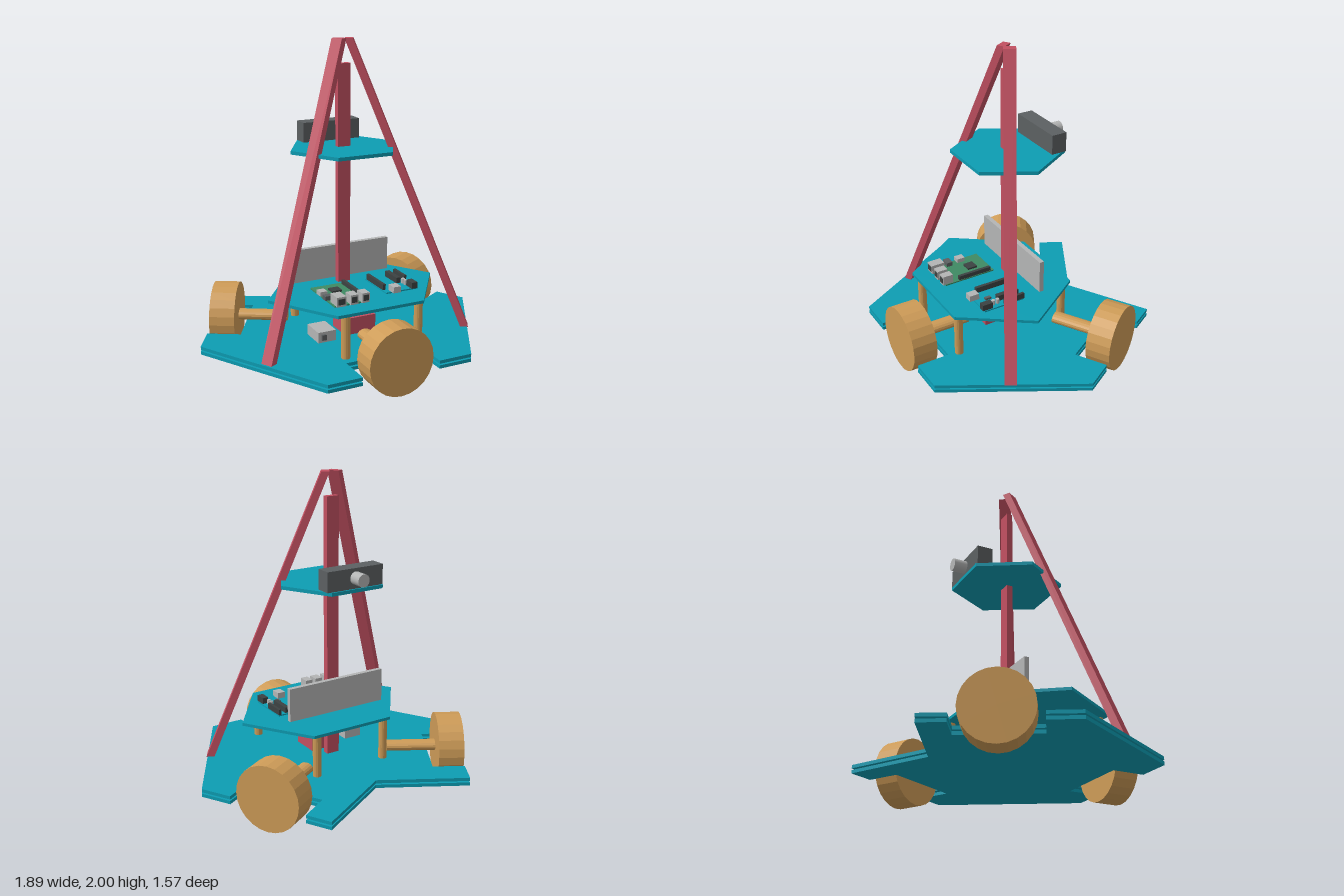
import * as THREE from 'three';

const material = (name, color) => {
  const m = new THREE.MeshStandardMaterial({ color });
  m.name = name;
  return m;
};

export function createModel() {
  const teal = material('teal plate', 0x0d9db3);
  const red = material('red frame', 0xc25061);
  const tan = material('tan wheel', 0xcd9b57);
  const dark = material('dark grey', 0x5c6062);
  const black = material('charcoal', 0x3c4242);
  const light = material('light grey', 0xb4b5b5);
  const green = material('board green', 0x3f8a63);
  tan.flatShading = true;

  const model = new THREE.Group();
  model.name = 'wheeledRobot';

  const add = (name, geometry, mat, parent = model) => {
    const mesh = new THREE.Mesh(geometry, mat);
    mesh.name = name;
    parent.add(mesh);
    return mesh;
  };
  // box given by its minimum and maximum on each axis
  const box = (name, mat, x0, x1, y0, y1, z0, z1, parent) => {
    const m = add(name, new THREE.BoxGeometry(x1 - x0, y1 - y0, z1 - z0), mat, parent);
    m.position.set((x0 + x1) / 2, (y0 + y1) / 2, (z0 + z1) / 2);
    return m;
  };
  // flat plate from an x,z outline
  const plate = (name, outline, bottom, top) => {
    const shape = new THREE.Shape(outline.map(([x, z]) => new THREE.Vector2(x, z)));
    const g = new THREE.ExtrudeGeometry(shape, { depth: top - bottom, bevelEnabled: false });
    g.rotateX(Math.PI / 2);
    add(name, g, teal).position.y = top;
  };

  // double base deck with three wheel slots
  const half = [[0.475, 0.785], [0.255, 0.785], [0.255, 0.575]];
  const side = [[0.41, -0.535], [0.585, -0.64], [0.505, -0.785]];
  const flank = [[0.945, -0.03], [0.845, -0.205], [0.66, -0.1]];
  const rightHalf = [...half.slice().reverse(), ...flank, ...side];
  const base = [...rightHalf, [0, -0.5],
    ...rightHalf.slice().reverse().map(([x, z]) => [-x, z])];
  plate('lowerBasePlate', base, 0.122, 0.143);
  plate('upperBasePlate', base, 0.153, 0.174);

  // raised decks
  plate('middleDeck', [[-0.25, -0.29], [0.31, -0.29], [0.58, 0.125],
    [0.285, 0.54], [-0.29, 0.54], [-0.56, 0.125]], 0.443, 0.462);
  plate('topDeck', [[-0.17, -0.3], [0.19, -0.3], [0.36, 0],
    [0.19, 0.3], [-0.17, 0.3], [-0.345, 0]], 1.318, 1.34);

  // wheels with oval axle housings, pointing outward along local z
  const wheels = [
    { name: 'frontWheel', x: 0, z: 0.705, turn: 0 },
    { name: 'leftRearWheel', x: 0.646, z: -0.381, turn: Math.PI * 2 / 3 },
    { name: 'rightRearWheel', x: -0.646, z: -0.381, turn: -Math.PI * 2 / 3 },
  ];
  for (const w of wheels) {
    const unit = new THREE.Group();
    unit.name = w.name;
    unit.position.set(w.x, 0.211, w.z);
    unit.rotation.y = w.turn;
    model.add(unit);
    add('tyre', new THREE.CylinderGeometry(0.211, 0.211, 0.16, 24).rotateX(Math.PI / 2), tan, unit);
    const axle = add('axle', new THREE.CylinderGeometry(1, 1, 0.32, 16).rotateX(Math.PI / 2), tan, unit);
    axle.scale.set(0.048, 0.034, 1);
    axle.position.z = -0.235;
  }

  // standoffs between base and middle deck
  for (const x of [-0.225, 0.268]) {
    for (const z of [0.505, -0.25]) {
      add('standoff', new THREE.CylinderGeometry(0.027, 0.027, 0.27, 16), tan).position.set(x, 0.309, z);
    }
  }

  // upright post and two leaning legs with level ends
  box('centrePost', red, -0.037, 0.047, 0.172, 1.85, -0.02, 0.02);
  for (const s of [-1, 1]) {
    const g = new THREE.BoxGeometry(0.05, 1.828, 0.075);
    g.rotateY(-s * Math.PI / 6);
    const p = g.attributes.position;
    for (let i = 0; i < p.count; i++) {
      const t = (p.getY(i) + 0.914) / 1.828;
      const x = THREE.MathUtils.lerp(0.675, 0.033, t);
      const z = THREE.MathUtils.lerp(0.383, 0.005, t);
      p.setXYZ(i, p.getX(i) + s * x + 0.01, p.getY(i) + 1.086, p.getZ(i) + z);
    }
    g.computeVertexNormals();
    add(s > 0 ? 'leftLeg' : 'rightLeg', g, red);
  }

  // rear-facing camera
  box('cameraBody', dark, -0.175, 0.215, 1.34, 1.465, -0.29, -0.19);
  add('cameraLens', new THREE.CylinderGeometry(0.04, 0.04, 0.085, 24).rotateX(Math.PI / 2), light)
    .position.set(0.018, 1.405, -0.332);

  // upright panel behind the post
  box('backPanel', light, -0.345, 0.345, 0.48, 0.695, -0.062, -0.032);

  // battery and small power unit on the base
  box('battery', red, -0.09, 0.12, 0.185, 0.293, 0.05, 0.23);
  box('powerUnit', light, -0.29, -0.17, 0.182, 0.25, 0.1, 0.26);
  box('powerPlug', dark, -0.27, -0.24, 0.2, 0.235, 0.26, 0.275);

  // main circuit board
  const main = new THREE.Group();
  main.name = 'mainBoard';
  model.add(main);
  box('board', green, -0.26, -0.03, 0.47, 0.478, 0.08, 0.43, main);
  for (const [x0, x1, z0] of [[-0.252, -0.19, 0.355], [-0.162, -0.11, 0.375], [-0.085, -0.035, 0.375]]) {
    box('port', light, x0, x1, 0.474, 0.535, z0, 0.445, main);
    box('portOpening', black, x0 + 0.008, x1 - 0.008, 0.487, 0.523, 0.444, 0.448, main);
  }
  box('pinHeader', black, -0.053, -0.033, 0.478, 0.505, 0.1, 0.33, main);
  box('processor', black, -0.175, -0.11, 0.478, 0.49, 0.16, 0.225, main);
  box('sideSocket', dark, -0.272, -0.212, 0.478, 0.505, 0.285, 0.325, main);
  box('sidePlug', light, -0.268, -0.22, 0.478, 0.505, 0.19, 0.245, main);

  // controller board
  const control = new THREE.Group();
  control.name = 'controllerBoard';
  model.add(control);
  box('board', teal, 0.125, 0.345, 0.468, 0.476, 0.08, 0.36, control);
  box('usbSocket', light, 0.16, 0.212, 0.476, 0.515, 0.325, 0.39, control);
  box('powerSocket', black, 0.3, 0.34, 0.476, 0.515, 0.3, 0.37, control);
  box('innerHeader', black, 0.263, 0.293, 0.476, 0.512, 0.09, 0.24, control);
  box('outerHeader', black, 0.328, 0.346, 0.476, 0.512, 0.08, 0.22, control);
  box('sideHeader', black, 0.128, 0.148, 0.476, 0.512, 0.09, 0.31, control);
  box('chip', dark, 0.228, 0.248, 0.476, 0.49, 0.26, 0.3, control);
  for (const z of [0.25, 0.28]) {
    add('capacitor', new THREE.CylinderGeometry(0.012, 0.012, 0.03, 12), light, control)
      .position.set(0.305, 0.491, z);
  }

  return model;
}
